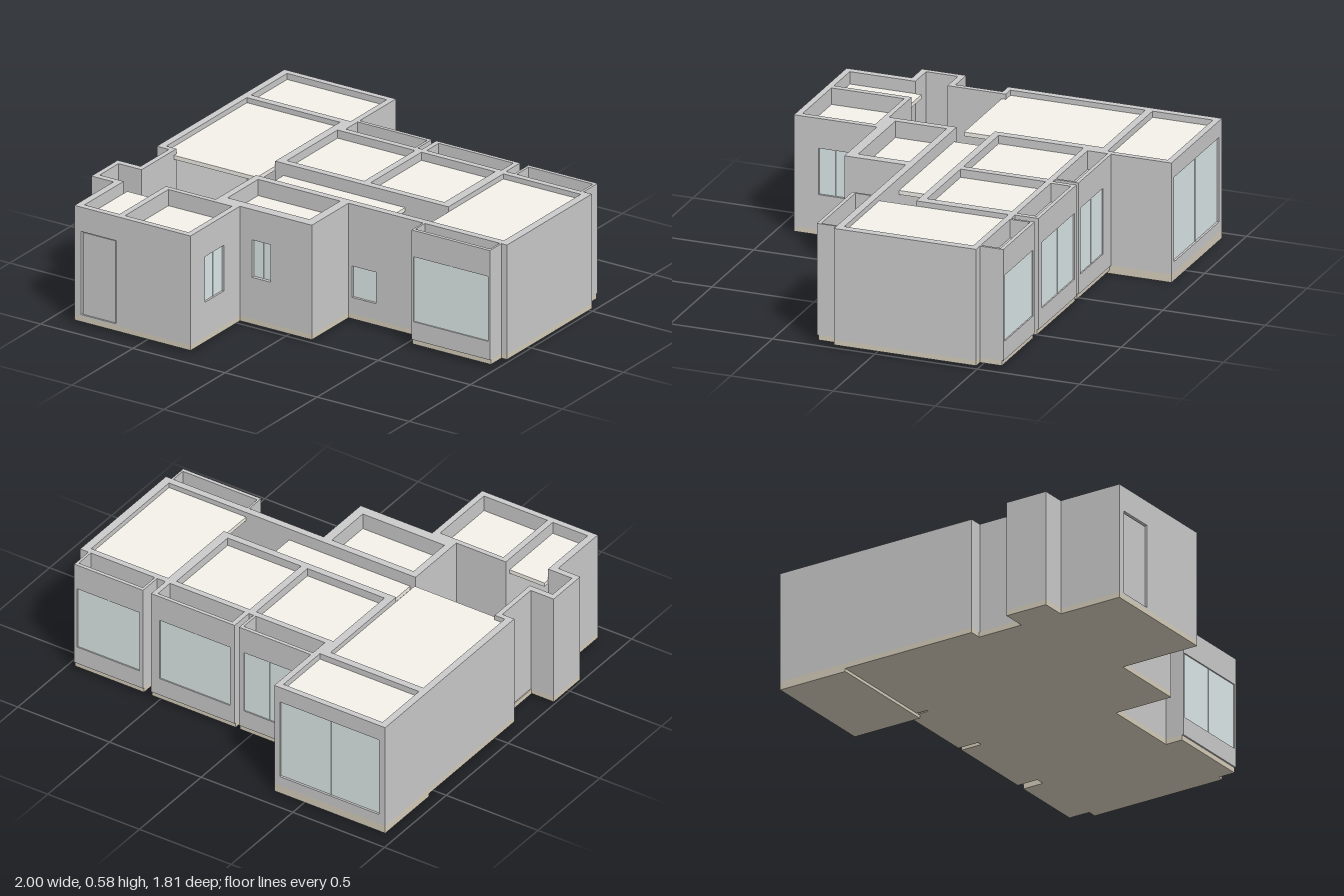
import * as THREE from 'three';

const TOP = 0.58, BASE = 0.04;
const mat = (color) => new THREE.MeshStandardMaterial({ color });

export function createModel() {
  const house = new THREE.Group();
  house.name = 'house';
  const grey = mat(0xcccccc), panel = mat(0xf4f2ea), stone = mat(0xd6cebc), glass = mat(0xdfeaea), floor = mat(0xcfd2c9);

  const box = (name, m, x0, x1, y0, y1, z0, z1) => {
    const mesh = new THREE.Mesh(new THREE.BoxGeometry(x1 - x0, y1 - y0, z1 - z0), m);
    mesh.position.set((x0 + x1) / 2, (y0 + y1) / 2, (z0 + z1) / 2);
    mesh.name = name;
    house.add(mesh);
  };

  // Wall along its longer side; holes are [start, end, bottom, top, kind]
  const wall = (name, x0, x1, z0, z1, holes = []) => {
    const alongX = x1 - x0 > z1 - z0;
    const [a, b, c, d] = alongX ? [x0, x1, z0, z1] : [z0, z1, x0, x1];
    const rect = (P, u0, u1, y0, y1) => {
      const p = new P();
      p.moveTo(u0, y0); p.lineTo(u1, y0); p.lineTo(u1, y1); p.lineTo(u0, y1); p.closePath();
      return p;
    };
    const shape = rect(THREE.Shape, a, b, BASE, TOP);
    const put = (n, m, u0, u1, y0, y1, t0, t1) =>
      alongX ? box(n, m, u0, u1, y0, y1, t0, t1) : box(n, m, t0, t1, y0, y1, u0, u1);
    for (const [u0, u1, y0, y1, kind] of holes) {
      shape.holes.push(rect(THREE.Path, u0, u1, y0, y1));
      const mid = (c + d) / 2, half = (d - c) * 0.25;
      if (kind === 'door') {
        put('entranceDoor', grey, u0 + 0.006, u1 - 0.006, y0, y1 - 0.006, mid - half, mid + half);
      } else {
        put('windowGlass', glass, u0, u1, y0, y1, mid - half * 0.6, mid + half * 0.6);
        const um = (u0 + u1) / 2;
        put('windowMullion', glass, um - 0.003, um + 0.003, y0, y1, mid - half, mid + half);
      }
    }
    const g = new THREE.ExtrudeGeometry(shape, { depth: d - c, bevelEnabled: false });
    if (alongX) g.translate(0, 0, c);
    else { g.rotateY(-Math.PI / 2); g.translate(d, 0, 0); }
    const mesh = new THREE.Mesh(g, grey);
    mesh.name = name;
    house.add(mesh);
  };

  // Floor slabs, one step lower under the rear room
  box('rearFloorSlab', stone, -0.94, -0.335, 0, BASE, -0.905, -0.55);
  [
    [-0.94, -0.36, -0.55, 0.14], [-0.4, 1, -0.495, 0.2], [-0.88, -0.36, 0.14, 0.5],
    [-0.385, 0.14, 0.2, 0.5], [-0.88, -0.25, 0.5, 0.905], [-1, -0.86, 0.37, 0.585],
  ].forEach(([x0, x1, z0, z1]) => box('floorSlab', stone, x0, x1, 0.015, BASE, z0, z1));
  box('hallFloor', floor, -0.85, -0.38, BASE, 0.045, 0.13, 0.53);
  box('nicheFloor', floor, -0.975, -0.84, BASE, 0.045, 0.4, 0.55);
  box('passageFloor', floor, 0.31, 0.54, BASE, 0.045, -0.015, 0.165);

  // Outer walls
  wall('rearWall', -0.94, -0.335, -0.905, -0.875, [[-0.912, -0.363, 0.09, 0.5]]);
  wall('rearRoomRightWall', -0.94, -0.905, -0.905, 0.14);
  wall('rearRoomLeftWall', -0.365, -0.335, -0.905, -0.49);
  wall('bedroomRearWall', -0.4, 1, -0.495, -0.465);
  wall('leftWall', 0.96, 1, -0.495, 0.2);
  wall('frontMiddleWall', -0.385, 1, 0.165, 0.2, [[0.16, 0.29, 0.12, 0.275]]);
  wall('smallRoomLeftWall', 0.095, 0.14, 0.19, 0.5);
  wall('smallRoomFrontWall', -0.385, 0.14, 0.45, 0.5, [[-0.185, -0.085, 0.245, 0.43]]);
  wall('entranceSideWall', -0.28, -0.25, 0.495, 0.905, [[0.63, 0.785, 0.21, 0.435]]);
  wall('entranceFrontWall', -0.88, -0.25, 0.875, 0.905, [[-0.845, -0.655, 0.05, 0.46, 'door']]);
  wall('entranceRightWall', -0.88, -0.845, 0.555, 0.905);
  wall('hallRightWall', -0.875, -0.85, 0.115, 0.4);
  wall('hallCornerWall', -0.94, -0.85, 0.115, 0.14);
  wall('nicheOuterWall', -1, -0.975, 0.37, 0.585);
  wall('nicheRearWall', -1, -0.85, 0.37, 0.4);
  wall('nicheFrontWall', -1, -0.845, 0.555, 0.585);

  // Inner walls
  wall('rearRoomPartition', -0.94, -0.335, -0.58, -0.545);
  wall('livingRoomPartition', -0.4, -0.36, -0.55, -0.015);
  wall('bedroomPartition', 0.06, 0.095, -0.495, -0.015);
  wall('largeBedroomPartition', 0.495, 0.54, -0.495, -0.015);
  wall('corridorWall', -0.4, 0.54, -0.05, -0.015);
  wall('smallRoomRightWall', -0.385, -0.35, 0.165, 0.5);
  wall('entrancePartition', -0.655, -0.625, 0.495, 0.905);
  wall('washroomRearWall', -0.655, -0.25, 0.495, 0.52);

  // Ceiling panels set below the wall tops
  [
    ['rearRoom', -0.905, -0.365, -0.875, -0.58, 0.55], ['livingRoom', -0.905, -0.4, -0.545, 0.135, 0.555],
    ['bedroom', -0.36, 0.06, -0.465, -0.05, 0.54], ['bedroom', 0.095, 0.495, -0.465, -0.05, 0.54],
    ['largeBedroom', 0.54, 0.96, -0.465, 0.165, 0.555], ['corridor', -0.355, 0.305, -0.015, 0.165, 0.52],
    ['smallRoom', -0.35, 0.095, 0.2, 0.45, 0.5], ['entrance', -0.845, -0.655, 0.525, 0.875, 0.52],
    ['washroom', -0.625, -0.28, 0.52, 0.875, 0.5],
  ].forEach(([n, x0, x1, z0, z1, y]) => box(n + 'Ceiling', panel, x0, x1, y - 0.02, y, z0, z1));

  // Window bays: side walls, glazed face, low top and slab
  const bay = (x0, x1, inner, outer, w0, w1, side = 0.013) => {
    const s = Math.sign(outer - inner), span = (p, q) => [Math.min(p, q), Math.max(p, q)];
    const [z0, z1] = span(inner, outer);
    wall('bayFace', x0, x1, ...span(outer, outer - s * 0.018), [[w0, w1, 0.13, 0.45]]);
    wall('baySide', x0, x0 + side, z0, z1);
    wall('baySide', x1 - side, x1, z0, z1);
    box('bayTop', grey, x0 + 0.005, x1 - 0.005, 0.47, 0.49, z0 + 0.003, z1 - 0.003);
    box('baySlab', stone, x0, x1, 0.015, BASE, ...span(inner, outer - s * 0.008));
  };
  bay(-0.35, 0.055, -0.49, -0.61, -0.24, 0.03);
  bay(0.08, 0.535, -0.49, -0.61, 0.1, 0.49, 0.025);
  bay(0.58, 0.955, -0.49, -0.61, 0.6, 0.94);
  bay(0.545, 0.97, 0.195, 0.295, 0.555, 0.96, 0.01);

  return house;
}
